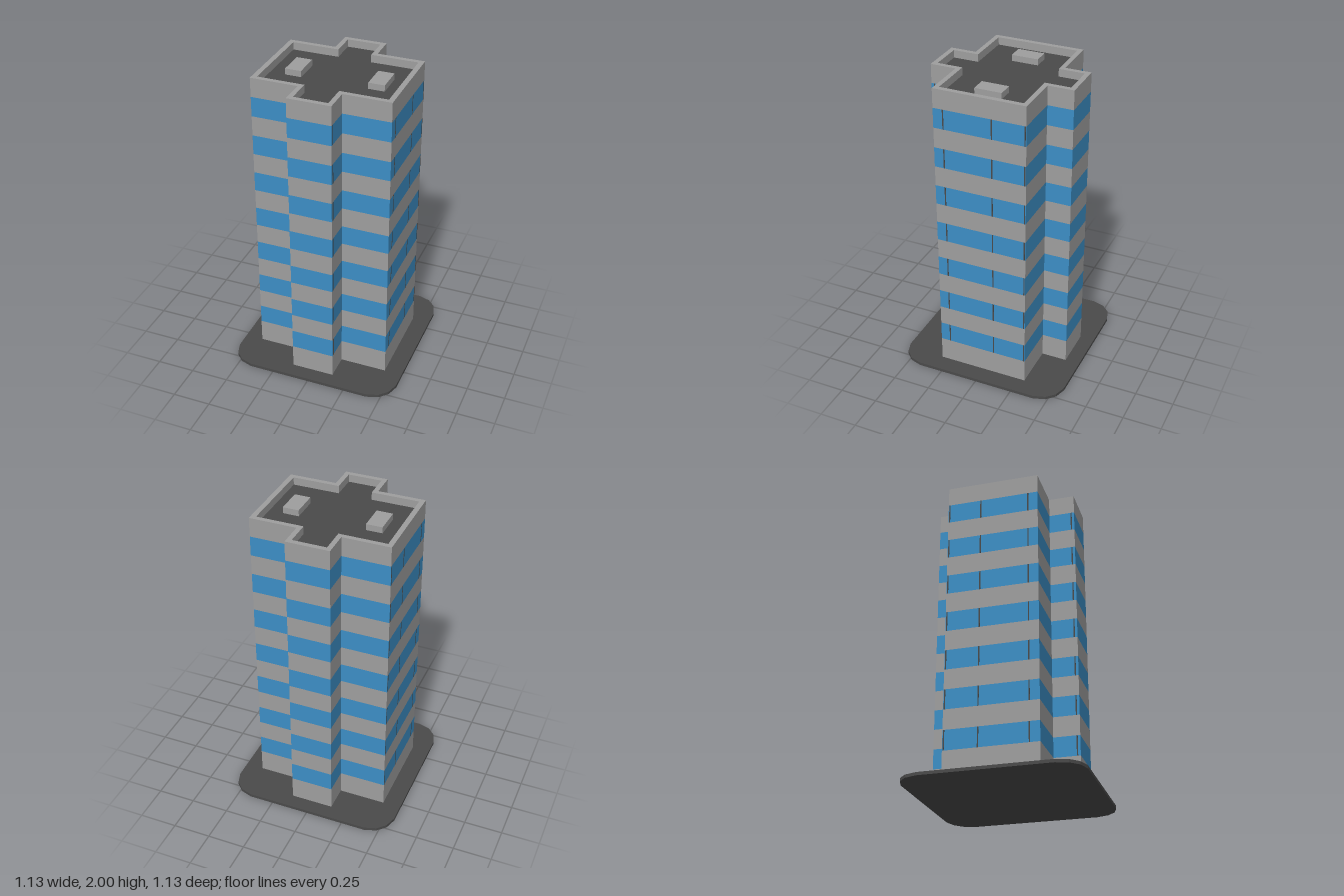
import * as THREE from 'three';

// Cross-shaped floor plan, counter-clockwise from above
function crossPlan(wing, wingDepth, arm, armDepth) {
  return [
    [wing, -wingDepth], [wing, wingDepth], [arm, wingDepth], [arm, armDepth],
    [-arm, armDepth], [-arm, wingDepth], [-wing, wingDepth], [-wing, -wingDepth],
    [-arm, -wingDepth], [-arm, -armDepth], [arm, -armDepth], [arm, -wingDepth],
  ].map(([x, y]) => new THREE.Vector2(x, y));
}

// Ring of upright walls following a plan between two heights
function wallRing(plan, y0, y1) {
  const pos = [];
  plan.forEach((a, i) => {
    const b = plan[(i + 1) % plan.length];
    pos.push(a.x, y0, -a.y, b.x, y0, -b.y, b.x, y1, -b.y);
    pos.push(a.x, y0, -a.y, b.x, y1, -b.y, a.x, y1, -a.y);
  });
  const geo = new THREE.BufferGeometry();
  geo.setAttribute('position', new THREE.Float32BufferAttribute(pos, 3));
  geo.computeVertexNormals();
  return geo;
}

function slab(shape, depth) {
  return new THREE.ExtrudeGeometry(shape, { depth, bevelEnabled: false }).rotateX(-Math.PI / 2);
}

export function createModel() {
  const model = new THREE.Group();
  model.name = 'towerBlock';
  const concrete = new THREE.MeshStandardMaterial({ name: 'concrete', color: 0x9e9e9e });
  const asphalt = new THREE.MeshStandardMaterial({ name: 'asphalt', color: 0x4a4a4a });
  const glass = new THREE.MeshStandardMaterial({ name: 'glass', color: 0x3c8ec5 });

  const add = (name, geo, mat, x = 0, y = 0, z = 0) => {
    const mesh = new THREE.Mesh(geo, mat);
    mesh.name = name;
    mesh.position.set(x, y, z);
    model.add(mesh);
  };

  // Ground plate with faceted rounded corners
  const corner = [[0.565, 0.41], [0.54, 0.488], [0.488, 0.54], [0.41, 0.565]];
  const outline = [];
  for (let q = 0; q < 4; q++) {
    for (const [x, y] of corner) {
      outline.push(new THREE.Vector2(x, y).rotateAround(new THREE.Vector2(), q * Math.PI / 2));
    }
  }
  add('groundPlate', slab(new THREE.Shape(outline), 0.02), asphalt);

  // Alternating wall and window bands
  const plan = crossPlan(0.447, 0.3, 0.14, 0.468);
  const floors = 7, pitch = 0.261, bandHeight = 0.13, roofY = 1.95;
  let y = 0.02;
  for (let i = 0; i < floors; i++) {
    const sill = 0.178 + i * pitch;
    add('wallBand', wallRing(plan, y, sill), concrete);
    y = sill + bandHeight;
    add('windowBand', wallRing(plan, sill, y), glass);

    // Narrow window dividers on the two sides
    for (const side of [-1, 1]) {
      for (const [x, z] of [[0.14, 0.448], [0.447, 0.235], [0.447, -0.08], [0.447, -0.292]]) {
        add('windowDivider', new THREE.BoxGeometry(0.002, bandHeight, 0.008), asphalt,
          side * x, sill + bandHeight / 2, z);
      }
    }
  }
  add('topWallBand', wallRing(plan, y, roofY), concrete);

  // Parapet and sunken roof
  const inner = crossPlan(0.414, 0.269, 0.109, 0.436);
  const parapet = new THREE.Shape(plan);
  parapet.holes.push(new THREE.Path(inner));
  add('parapet', slab(parapet, 2 - roofY), concrete, 0, roofY);
  add('roof', new THREE.ShapeGeometry(new THREE.Shape(inner)).rotateX(-Math.PI / 2), asphalt, 0, roofY);

  // Rooftop service boxes
  for (const x of [-0.262, 0.272]) {
    add('roofBox', new THREE.BoxGeometry(0.104, 0.04, 0.176), concrete, x, roofY + 0.02, -0.002);
  }
  return model;
}
